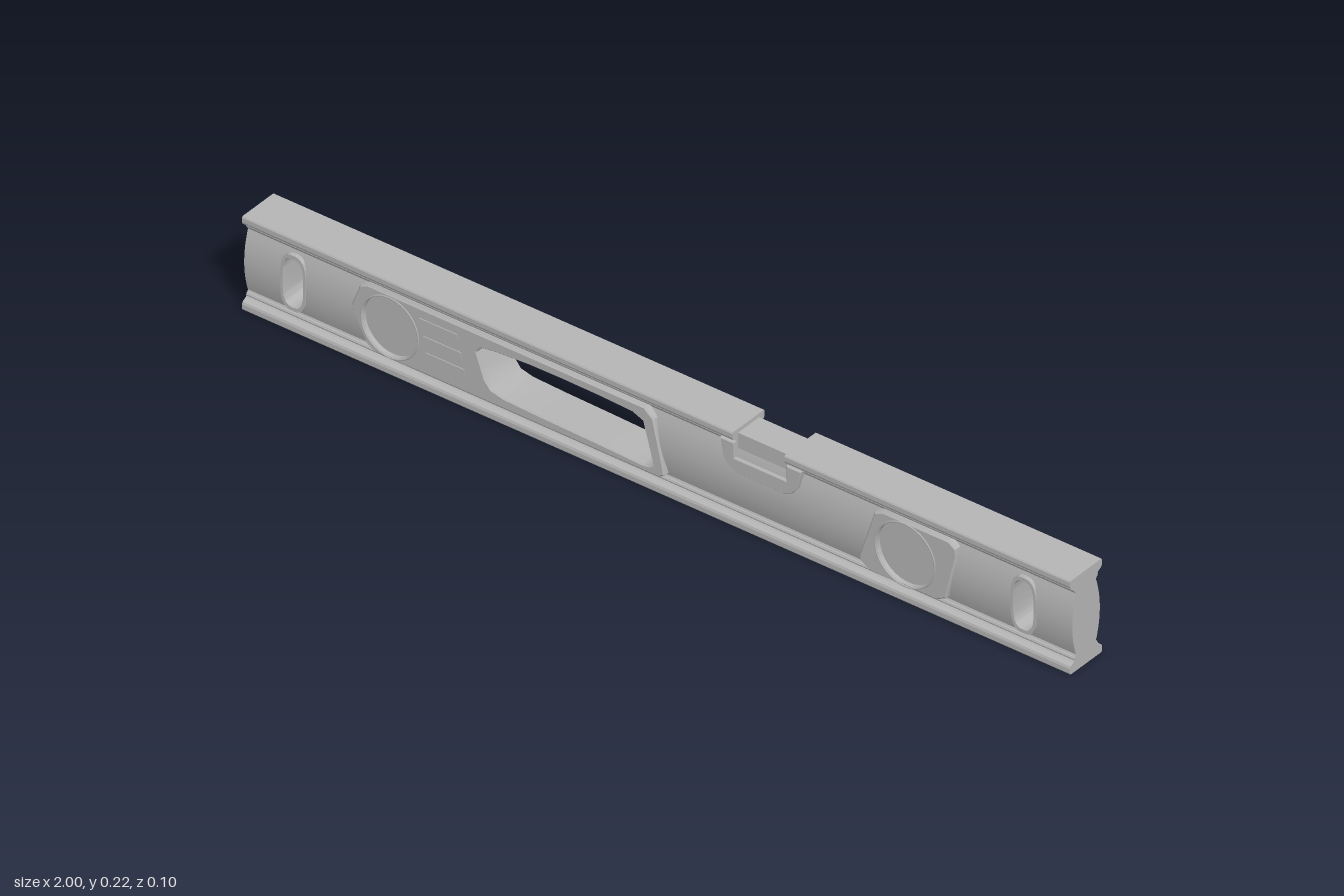
import * as THREE from 'three';
import { toCreasedNormals } from 'three/addons/utils/BufferGeometryUtils.js';

const HEIGHT = 0.217, MID = 0.108;
const WEB_LOW = 0.033, WEB_HIGH = 0.183;

// Half thickness of the bulging web at a given height
const bulge = (y) => 0.043 - 0.012 * ((y - MID) / 0.071) ** 2;

// Height on a polyline at x
function along(points, x) {
  for (let i = 1; i < points.length; i++) {
    const [x0, y0] = points[i - 1], [x1, y1] = points[i];
    if (x <= x1) return y0 + (y1 - y0) * (x - x0) / (x1 - x0);
  }
  return points[points.length - 1][1];
}

// Bulging web strip lofted through x stations between a lower and an upper edge
function webStrip(xs, low, high) {
  const n = 12, L = 2 * (n + 1), pos = [], index = [];
  for (const x of xs) {
    const a = low(x), b = high(x);
    for (let j = 0; j < L; j++) {
      const front = j <= n;
      const y = a + (b - a) * (front ? j : L - 1 - j) / n;
      pos.push(x, y, front ? bulge(y) : -bulge(y));
    }
  }
  for (let i = 0; i < xs.length - 1; i++) {
    for (let j = 0; j < L; j++) {
      const k = (j + 1) % L;
      const a = i * L + j, b = a + L, c = (i + 1) * L + k, d = i * L + k;
      index.push(a, b, c, a, c, d);
    }
  }
  const e = (xs.length - 1) * L;
  for (let j = 0; j < n; j++) {
    const p = j, q = j + 1, r = L - 2 - j, s = L - 1 - j;
    index.push(p, q, r, p, r, s, e + p, e + r, e + q, e + p, e + s, e + r);
  }
  const g = new THREE.BufferGeometry();
  g.setAttribute('position', new THREE.Float32BufferAttribute(pos, 3));
  g.setIndex(index);
  return toCreasedNormals(g, 0.5);
}

// Opening with an even outline: power 2 is an ellipse, higher is squarer
function roundHole(cx, rx, ry, power) {
  const xs = [];
  for (let i = 0; i <= 32; i++) xs.push(cx - rx * Math.cos(Math.PI * i / 32));
  const half = (x) => ry * Math.max(0, 1 - Math.abs((x - cx) / rx) ** power) ** (1 / power);
  return { xs, low: (x) => MID - half(x), high: (x) => MID + half(x) };
}

// Outline of an opening as a list of points
const outline = (h) => [
  ...h.xs.map((x) => new THREE.Vector2(x, h.low(x))),
  ...h.xs.slice(1, -1).reverse().map((x) => new THREE.Vector2(x, h.high(x))),
];

// Plate through the whole level, showing on both faces
function plate(points, holes, half, bevel) {
  const shape = new THREE.Shape(points.map((p) => (p.isVector2 ? p : new THREE.Vector2(...p))));
  for (const h of holes) shape.holes.push(new THREE.Path(outline(h)));
  const g = new THREE.ExtrudeGeometry(shape, {
    depth: 2 * (half - bevel), bevelEnabled: bevel > 0, bevelSegments: 1,
    bevelSize: bevel, bevelThickness: bevel, bevelOffset: -bevel,
  });
  g.translate(0, 0, bevel - half);
  return toCreasedNormals(g, 0.5);
}

export function createModel() {
  const group = new THREE.Group();
  const grey = new THREE.MeshStandardMaterial({ color: 0xb4b4b4 });
  grey.name = 'aluminium grey';
  const add = (name, geometry) => {
    const m = new THREE.Mesh(geometry, grey);
    m.name = name;
    group.add(m);
    return m;
  };

  // Openings from left to right across the front
  const gripTop = [[-0.435, 0.14], [-0.425, 0.153], [-0.39, 0.158], [-0.31, 0.163], [-0.23, 0.164],
    [-0.14, 0.163], [-0.06, 0.16], [-0.035, 0.15], [-0.018, 0.09], [-0.01, 0.058]];
  const gripBottom = [[-0.435, 0.14], [-0.415, 0.085], [-0.4, 0.067], [-0.37, 0.06], [-0.29, 0.057],
    [-0.2, 0.055], [-0.12, 0.053], [-0.035, 0.05], [-0.02, 0.052], [-0.01, 0.058]];
  const grip = {
    xs: [...new Set([...gripTop, ...gripBottom].map((p) => p[0]))].sort((a, b) => a - b),
    low: (x) => along(gripBottom, x),
    high: (x) => along(gripTop, x),
  };
  const slotL = roundHole(-0.882, 0.025, 0.056, 3);
  const slotR = roundHole(0.882, 0.025, 0.056, 3);
  const vialL = roundHole(-0.645, 0.067, 0.067, 2);
  const vialR = roundHole(0.6, 0.07, 0.07, 2);

  // Web: solid spans between openings, strips above and below each opening
  let start = -1;
  const bottom = () => WEB_LOW, top = () => WEB_HIGH;
  for (const h of [slotL, vialL, grip, vialR, slotR]) {
    add('web', webStrip([start, h.xs[0]], bottom, top));
    add('webBelowOpening', webStrip(h.xs, bottom, h.low));
    add('webAboveOpening', webStrip(h.xs, h.high, top));
    start = h.xs[h.xs.length - 1];
  }
  add('web', webStrip([start, 1], bottom, top));

  // Rails: flanged profile run along x, mirrored for the top
  const half = [[0.048, 0], [0.05, 0.003], [0.05, 0.013], [0.048, 0.018], [0.039, 0.023],
    [0.036, 0.026], [0.037, 0.029], [0.035, 0.033], [0.033, 0.034], [0.031, 0.038]];
  const rail = (name, x0, x1, upper) => {
    const pts = [...half, ...half.map(([z, y]) => [-z, y]).reverse()]
      .map(([z, y]) => new THREE.Vector2(z, upper ? HEIGHT - y : y));
    const g = new THREE.ExtrudeGeometry(new THREE.Shape(pts), { depth: x1 - x0, bevelEnabled: false });
    g.rotateY(Math.PI / 2);
    g.translate(x0, 0, 0);
    add(name, g);
  };
  rail('bottomRail', -1, 1, false);
  rail('topRailRight', -1, 0.185, true);
  rail('topRailLeft', 0.31, 1, true);

  // Handle panel around the grip opening and the first vial
  add('handlePanel', plate([
    [-0.68, 0.036], [0.005, 0.036], [0.018, 0.045], [0.016, 0.06], [-0.008, 0.165], [-0.03, 0.184],
    [-0.7, 0.184], [-0.718, 0.175], [-0.737, 0.125], [-0.735, 0.11], [-0.7, 0.045],
  ], [grip, vialL], 0.048, 0.003));

  // Raised bars between vial and grip, on both faces
  [[-0.527, 0.155], [-0.517, 0.117], [-0.51, 0.081]].forEach(([x, y]) => {
    add('panelBar', new THREE.BoxGeometry(0.092, 0.014, 0.1)).position.set(x, y, 0);
  });

  // Housing around the second vial
  add('vialHousing', plate([
    [0.51, 0.036], [0.675, 0.036], [0.698, 0.048], [0.724, 0.155], [0.722, 0.172], [0.705, 0.184],
    [0.545, 0.184], [0.525, 0.175], [0.49, 0.065], [0.49, 0.05],
  ], [vialR], 0.048, 0.003));

  // Round vials, sunk below the panel faces, with a fine rim
  for (const [x, r] of [[-0.645, 0.067], [0.6, 0.07]]) {
    const disc = new THREE.CylinderGeometry(r + 0.001, r + 0.001, 0.072, 48);
    disc.rotateX(Math.PI / 2);
    add('roundVial', disc).position.set(x, MID, 0);
    for (const side of [1, -1]) {
      add('vialRim', new THREE.TorusGeometry(r + 0.002, 0.002, 6, 48)).position.set(x, MID, side * 0.048);
    }
  }

  // Rims of the end slots
  for (const [x, slot] of [[-0.882, slotL], [0.882, slotR]]) {
    add('slotRim', plate(outline(roundHole(x, 0.031, 0.064, 3)), [slot], 0.0435, 0));
  }

  // Saddle and core of the top vial, set into the notch of the top rail
  add('topVialSaddle', plate([
    [0.15, 0.19], [0.157, 0.148], [0.17, 0.132], [0.19, 0.122], [0.305, 0.122], [0.325, 0.132],
    [0.338, 0.148], [0.346, 0.19], [0.31, 0.19], [0.31, 0.155], [0.185, 0.155], [0.185, 0.19],
  ], [], 0.0445, 0.002));
  add('topVial', new THREE.BoxGeometry(0.127, 0.06, 0.066)).position.set(0.2475, 0.178, 0);

  return group;
}
